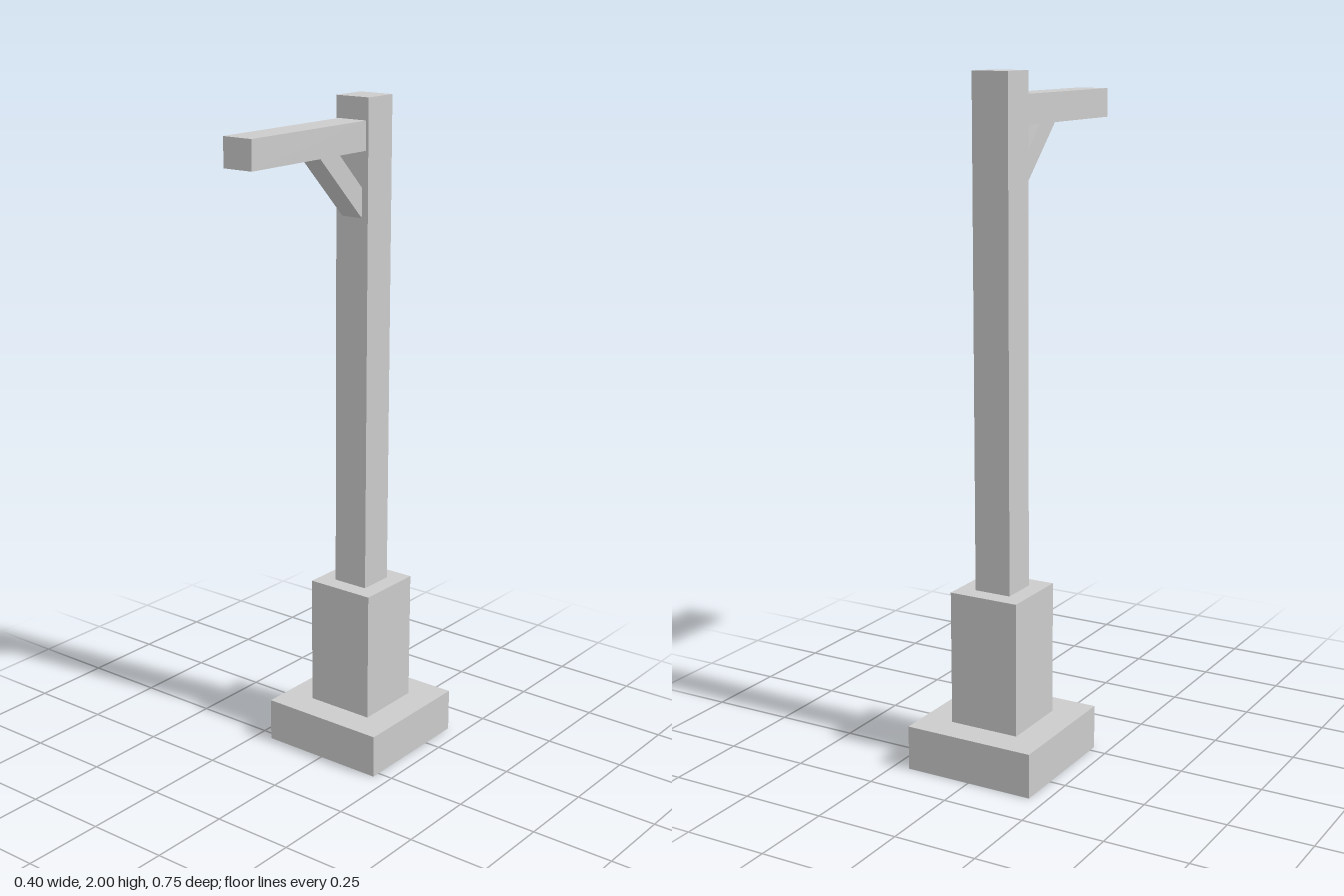
import * as THREE from 'three';

const material = new THREE.MeshStandardMaterial({ color: 0xcccccc, flatShading: true });

// Box given by its width (centred on x) and its y and z ranges
function block(name, width, y0, y1, z0, z1) {
  const mesh = new THREE.Mesh(new THREE.BoxGeometry(width, y1 - y0, z1 - z0), material);
  mesh.position.set(0, (y0 + y1) / 2, (z0 + z1) / 2);
  mesh.name = name;
  return mesh;
}

// Diagonal strut: side profile in (z, y), extruded across x
function brace(width) {
  const shape = new THREE.Shape([
    [-0.118, 1.66], [0.074, 1.852], [-0.013, 1.852], [-0.118, 1.747],
  ].map(([z, y]) => new THREE.Vector2(z, y)));
  const geometry = new THREE.ExtrudeGeometry(shape, { depth: width, bevelEnabled: false });
  geometry.translate(0, 0, -width / 2).rotateY(-Math.PI / 2);
  const mesh = new THREE.Mesh(geometry, material);
  mesh.name = 'brace';
  return mesh;
}

export function createModel() {
  const group = new THREE.Group();
  group.name = 'lampPost';
  group.add(
    block('base', 0.402, 0, 0.132, -0.374, 0.026),
    block('plinth', 0.216, 0.132, 0.53, -0.283, -0.066),
    block('post', 0.113, 0.53, 2, -0.23, -0.118),
    block('arm', 0.097, 1.852, 1.936, -0.118, 0.374),
    brace(0.07),
  );
  return group;
}
